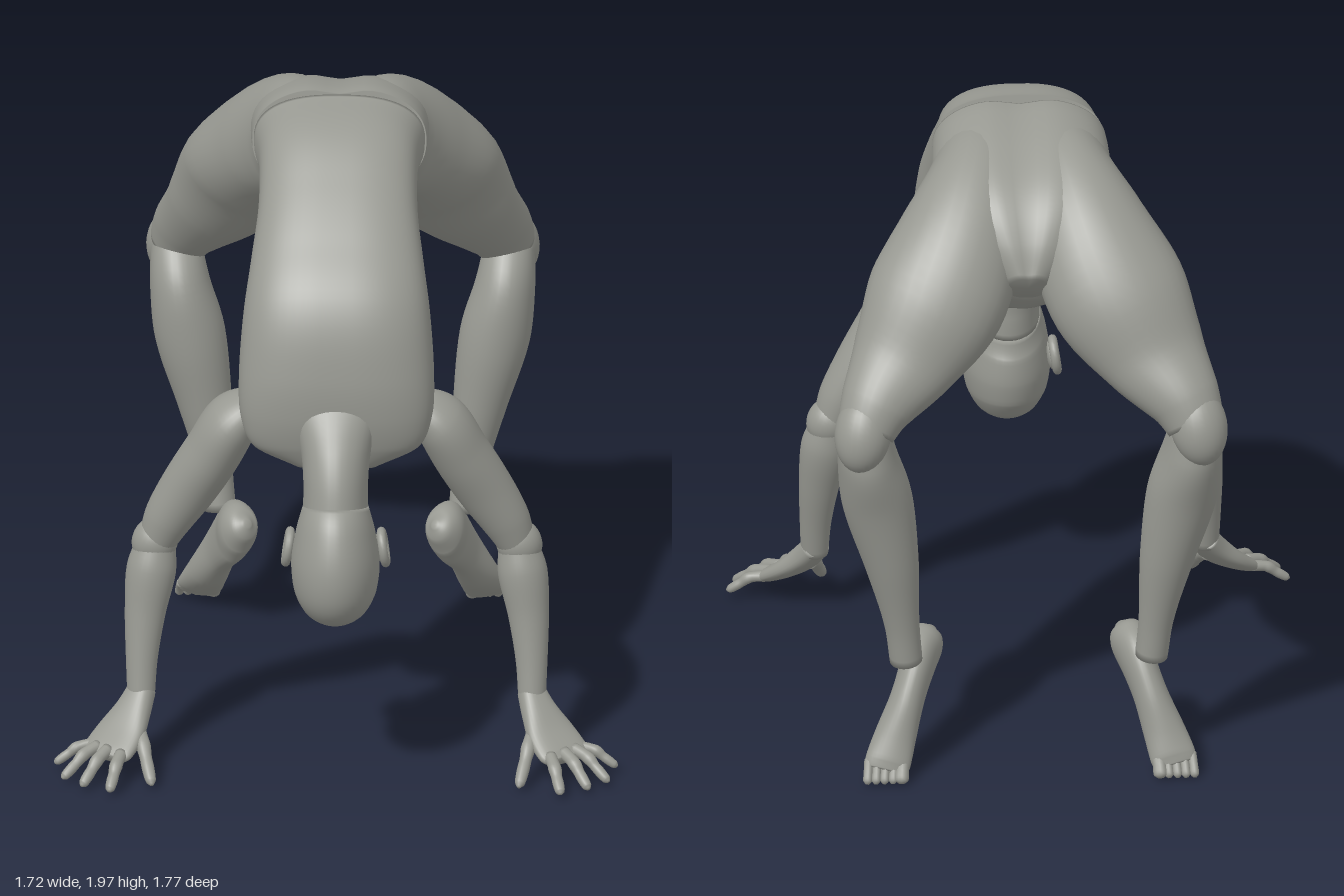
import * as THREE from 'three';

const skin = new THREE.MeshStandardMaterial({ color: 0x989992 });
skin.name = 'warmGrey';
const AXIS_X = new THREE.Vector3(1, 0, 0);

// Smooth loft through rows [x, y, z, halfWidth, halfDepth].
// square > 2 flattens the sides, groove dents the back along the middle.
function loft(name, rows, { ref = AXIS_X, sides = 32, per = 6, square = 2, groove = 0 } = {}) {
  const path = new THREE.CatmullRomCurve3(rows.map(r => new THREE.Vector3(r[0], r[1], r[2])));
  const size = new THREE.CatmullRomCurve3(rows.map(r => new THREE.Vector3(r[3], r[4], 0)), false, 'catmullrom', 0.5);
  const steps = (rows.length - 1) * per, pos = [], idx = [];
  const bend = v => Math.sign(v) * Math.abs(v) ** (2 / square);
  for (let i = 0; i <= steps; i++) {
    const t = i / steps, c = path.getPoint(t), r = size.getPoint(t), T = path.getTangent(t);
    const S = ref.clone().addScaledVector(T, -ref.dot(T)).normalize();
    const D = new THREE.Vector3().crossVectors(T, S);
    for (let j = 0; j < sides; j++) {
      const a = j / sides * Math.PI * 2, u = bend(Math.cos(a));
      let v = bend(Math.sin(a));
      if (v < 0) v *= 1 - groove * Math.exp(-((u / 0.25) ** 2));
      const p = c.clone().addScaledVector(S, u * r.x).addScaledVector(D, v * r.y);
      pos.push(p.x, p.y, p.z);
    }
  }
  for (let i = 0; i < steps; i++) for (let j = 0; j < sides; j++) {
    const a = i * sides + j, b = i * sides + (j + 1) % sides;
    idx.push(a, b, a + sides, b, b + sides, a + sides);
  }
  // end caps
  const first = pos.length / 3, last = steps * sides;
  pos.push(...path.getPoint(0).toArray(), ...path.getPoint(1).toArray());
  for (let j = 0; j < sides; j++) {
    const k = (j + 1) % sides;
    idx.push(first, k, j, first + 1, last + j, last + k);
  }
  const g = new THREE.BufferGeometry();
  g.setAttribute('position', new THREE.Float32BufferAttribute(pos, 3));
  g.setIndex(idx);
  g.computeVertexNormals();
  const m = new THREE.Mesh(g, skin);
  m.name = name;
  return m;
}

function ball(name, p, r, rot = [0, 0, 0]) {
  const m = new THREE.Mesh(new THREE.SphereGeometry(1, 28, 20), skin);
  m.name = name;
  m.position.set(...p);
  m.scale.set(...r);
  m.rotation.set(...rot);
  return m;
}

function makeLeg(s) {
  const g = new THREE.Group(), M = rows => rows.map(([x, ...r]) => [x * s, ...r]);
  g.name = s > 0 ? 'leftLeg' : 'rightLeg';
  g.add(loft('thigh', M([
    [.12, 1.81, -.13, .13, .15], [.14, 1.76, -.27, .155, .19], [.19, 1.68, -.42, .19, .19],
    [.28, 1.53, -.57, .215, .165], [.385, 1.37, -.665, .165, .12],
    [.47, 1.26, -.745, .115, .1], [.505, 1.19, -.78, .09, .085]])));
  g.add(ball('knee', [.513 * s, 1.19, -.79], [.087, .125, .085], [.3, 0, .15 * s]));
  g.add(loft('shin', M([
    [.51, 1.21, -.77, .075, .07], [.497, 1.08, -.73, .092, .12], [.465, .92, -.70, .108, .112],
    [.42, .7, -.685, .083, .085], [.39, .5, -.672, .055, .056], [.375, .36, -.655, .05, .056]])));
  g.add(loft('foot', M([
    [.285, .385, -.475, .012, .012], [.297, .372, -.49, .045, .05], [.315, .35, -.525, .06, .082],
    [.335, .31, -.58, .055, .1], [.37, .23, -.65, .053, .083], [.41, .13, -.71, .064, .058],
    [.435, .065, -.755, .07, .034], [.443, .04, -.77, .064, .022]])));
  // toes, largest on the inner side
  for (let i = 0; i < 5; i++) {
    const x = .39 + i * .026, r = i ? .0135 : .021;
    g.add(loft('toe', M([
      [x, .07, -.75, r, r], [x + .004, .04, -.783, r, r], [x + .006, .02, -.798, r, r],
      [x + .007, .01, -.802, r * .4, r * .4]]), { sides: 12, per: 4 }));
  }
  return g;
}

function makeArm(s) {
  const g = new THREE.Group(), M = rows => rows.map(([x, ...r]) => [x * s, ...r]);
  g.name = s > 0 ? 'leftArm' : 'rightArm';
  g.add(loft('upperArm', M([
    [.235, 1.185, .43, .02, .03], [.265, 1.165, .43, .055, .085], [.32, 1.11, .425, .083, .112],
    [.38, 1.0, .41, .088, .105], [.45, .88, .39, .087, .09],
    [.515, .77, .38, .075, .075], [.55, .69, .375, .058, .06]])));
  g.add(ball('elbow', [.556 * s, .69, .375], [.07, .078, .066], [0, 0, .4 * s]));
  g.add(loft('forearm', M([
    [.552, .69, .373, .06, .06], [.567, .6, .387, .076, .073], [.585, .47, .41, .063, .06],
    [.595, .33, .44, .049, .048], [.597, .21, .465, .042, .042]])));
  // hand spread outwards on the ground
  const ref = new THREE.Vector3(.8, 0, -.6 * s);
  g.add(loft('palm', M([
    [.593, .235, .455, .042, .038], [.618, .185, .495, .058, .038], [.655, .13, .545, .082, .032],
    [.695, .088, .597, .088, .025], [.71, .075, .617, .075, .015]]), { ref, square: 2.4 }));
  const fingers = [
    ['littleFinger', [.745, .09, .552], [.86, .035, .575], .016],
    ['ringFinger', [.725, .095, .58], [.835, .024, .67], .018],
    ['middleFinger', [.695, .095, .61], [.775, .022, .725], .019],
    ['indexFinger', [.655, .09, .635], [.69, .024, .77], .019],
    ['thumb', [.61, .15, .52], [.56, .022, .715], .021]];
  for (const [name, a, b, r] of fingers) {
    const at = (t, lift, k) => [...a.map((v, i) => v + (b[i] - v) * t + (i === 1 ? lift : 0)), r * k, r * k];
    g.add(loft(name, M([at(0, 0, 1.1), at(.3, .012, 1), at(.45, .014, 1.08), at(.6, .008, .9),
      at(.75, .004, .92), at(.93, 0, .75), at(1, 0, .25)]), { ref, sides: 14, per: 4 }));
  }
  return g;
}

function makeEar(s) {
  const g = new THREE.Group();
  g.name = s > 0 ? 'leftEar' : 'rightEar';
  const rim = new THREE.Mesh(new THREE.TorusGeometry(.043, .014, 12, 28), skin);
  rim.name = 'earRim';
  rim.rotation.y = Math.PI / 2;
  rim.scale.y = 1.12;
  g.add(rim, ball('earInner', [-.012 * s, 0, 0], [.014, .045, .042]));
  g.position.set(.146 * s, .78, .627);
  g.rotation.z = .15 * s;
  return g;
}

export function createModel() {
  const model = new THREE.Group();
  model.name = 'archedMannequin';
  model.add(loft('torso', [
    [0, 1.82, -.095, .262, .163], [0, 1.803, .04, .243, .15], [0, 1.715, .19, .243, .143],
    [0, 1.605, .31, .262, .152], [0, 1.465, .41, .285, .178], [0, 1.29, .472, .298, .162],
    [0, 1.16, .505, .292, .13], [0, 1.07, .525, .25, .09], [0, 1.01, .54, .12, .05]],
  { sides: 56, per: 8, square: 2.5, groove: .16 }));
  model.add(loft('pelvis', [
    [0, 1.822, -.09, .266, .168], [0, 1.815, -.15, .27, .172], [0, 1.785, -.27, .272, .172],
    [0, 1.715, -.41, .25, .17], [0, 1.64, -.51, .17, .135], [0, 1.57, -.59, .06, .07]],
  { sides: 56, per: 8, square: 2.3, groove: .12 }));
  model.add(loft('neck', [
    [0, 1.24, .54, .15, .07], [0, 1.1, .598, .11, .11], [0, 1.0, .632, .099, .133], [0, .91, .648, .1, .145]]));
  model.add(loft('head', [
    [0, .925, .65, .101, .146], [0, .86, .67, .12, .182], [0, .76, .687, .135, .199],
    [0, .67, .69, .126, .185], [0, .61, .69, .097, .142], [0, .578, .69, .058, .083],
    [0, .567, .69, .012, .015]], { sides: 40 }));
  for (const s of [1, -1]) model.add(makeEar(s), makeArm(s), makeLeg(s));
  return model;
}
